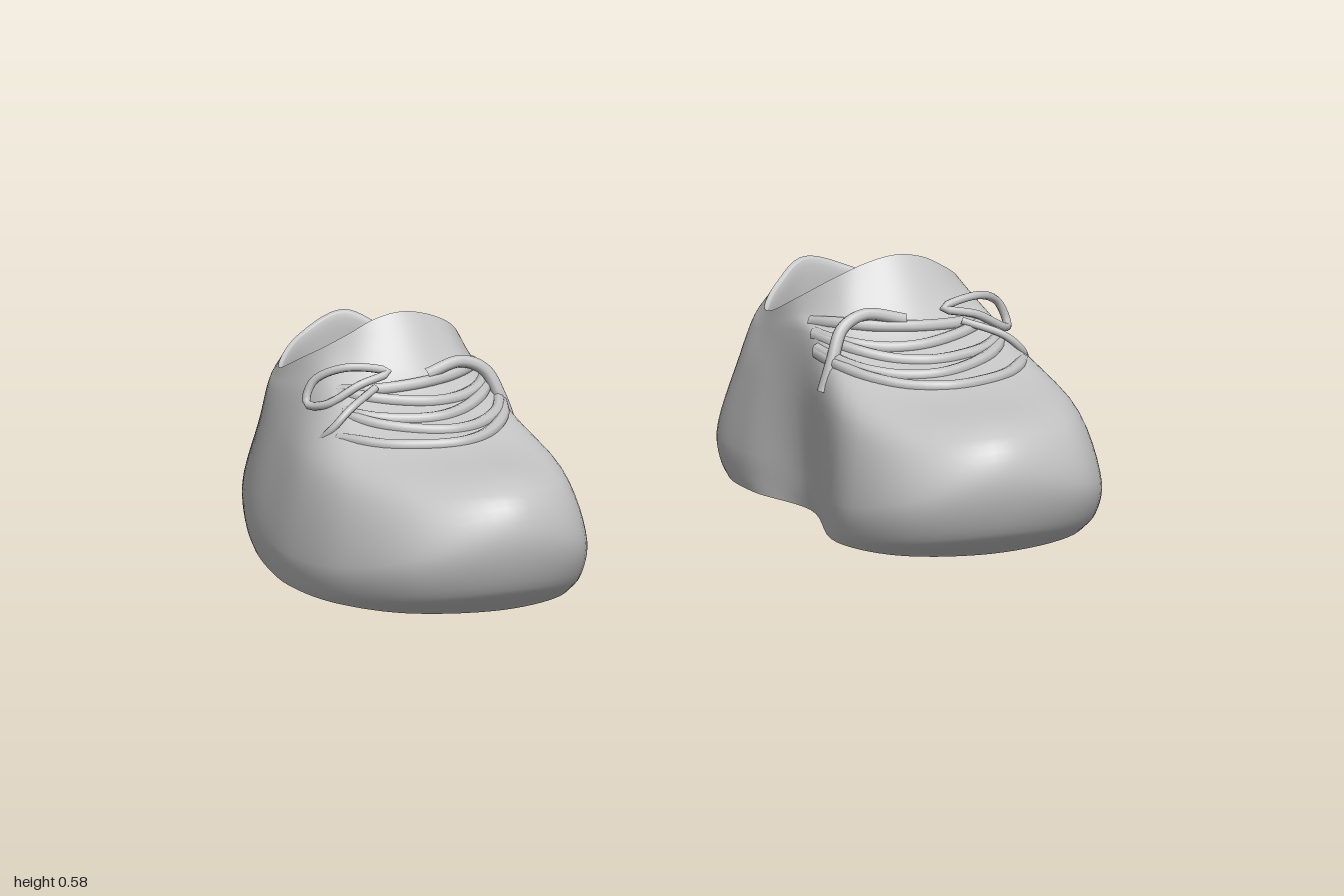
import * as THREE from 'three';

const N = 98, STEPS = 6;

// Control rings run toe -> outer side -> heel -> inner side, as x, y, z.
const WIDEST = [
  [.61, .2, .605], [.845, .15, .525], [.965, .1, .34], [1, .08, .12], [.975, .08, -.1],
  [.905, .09, -.35], [.805, .11, -.53], [.655, .115, -.608], [.485, .11, -.585], [.35, .09, -.47],
  [.335, .09, -.28], [.39, .1, -.05], [.322, .1, .31], [.405, .15, .515]];
const SHOULDER = [
  [.61, .295, .56], [.81, .28, .465], [.915, .28, .29], [.945, .28, .1], [.92, .28, -.1],
  [.87, .28, -.33], [.77, .28, -.48], [.63, .28, -.54], [.495, .28, -.515], [.385, .28, -.42],
  [.36, .28, -.28], [.385, .29, -.06], [.36, .28, .27], [.435, .28, .455]];
const VAMP = [
  [.61, .342, .28], [.72, .345, .24], [.8, .36, .16], [.85, .4, .04], [.87, .4, -.1],
  [.85, .37, -.32], [.74, .39, -.465], [.6, .42, -.508], [.49, .4, -.475], [.405, .37, -.39],
  [.385, .37, -.28], [.395, .42, -.08], [.43, .37, .12], [.51, .345, .23]];
const RIM = [
  [.62, .585, -.06], [.69, .572, -.065], [.75, .54, -.08], [.8, .505, -.115], [.83, .467, -.18],
  [.83, .413, -.31], [.715, .445, -.445], [.575, .487, -.475], [.485, .445, -.43], [.42, .412, -.355],
  [.4, .425, -.27], [.415, .48, -.16], [.48, .54, -.085], [.55, .572, -.065]];

const vec = (p) => new THREE.Vector3(...p);
const ring = (pts) => new THREE.CatmullRomCurve3(pts.map(vec), true);
const around = (u) => ((u % 1) + 1) % 1;

const GROUND = WIDEST.map(([x, , z]) => [.655 + (x - .655) * .975, 0, z * (z > 0 ? .82 : .89)]);
// Rounded edge of the sole
const EDGE = GROUND.map(([x, , z], i) =>
  [x + (WIDEST[i][0] - x) * .65, WIDEST[i][1] * .33, z + (WIDEST[i][2] - z) * .65]);
// Tongue ring dips at the front so the throat is concave
const THROAT = VAMP.map((p, i) => {
  const dip = .07 * Math.max(0, Math.cos(i / 14 * Math.PI * 2)) ** 2;
  return p.map((c, k) => c + (RIM[i][k] - c) * .6 - (k === 1 ? dip : 0));
});
// Rings inside the opening, scaled about its centre and reaching forward under the tongue
const inside = (s, height, reach = 1) => RIM.map(([x, y, z]) =>
  [.62 + (x - .62) * s, height(y), -.27 + (z + .27) * s * (z > -.27 ? reach : 1)]);

const UPPER = [GROUND, EDGE, WIDEST, SHOULDER, VAMP, THROAT, RIM].map(ring);
const VAMP_ROW = 4;
const LINING = [RIM, inside(.95, (y) => y - .006), inside(.95, (y) => y * .7, 1.25),
  inside(.97, () => .22, 1.7), inside(.85, () => .2, 1.7), inside(.01, () => .2)].map(ring);
const SOLE = [GROUND.map(() => [.655, 0, -.02]), GROUND].map(ring);

// Profile of a set of rings at one place around the shoe
const profile = (rings, u) => new THREE.CatmullRomCurve3(rings.map((r) => r.getPoint(around(u))));

// The second shoe is a mirrored, slightly narrower copy
const place = (p, side) => {
  if (side < 0) p.x = -(1 - (1 - p.x) * .945);
  return p;
};

function loft(rings, side) {
  const rows = (rings.length - 1) * STEPS, pos = [], index = [];
  for (let i = 0; i < N; i++) {
    const curve = profile(rings, i / N);
    for (let j = 0; j <= rows; j++) pos.push(...place(curve.getPoint(j / rows), side).toArray());
  }
  const at = (i, j) => (i % N) * (rows + 1) + j;
  for (let i = 0; i < N; i++) for (let j = 0; j < rows; j++) {
    const a = at(i, j), b = at(i + 1, j), c = at(i + 1, j + 1), d = at(i, j + 1);
    if (side > 0) index.push(a, b, c, a, c, d);
    else index.push(a, c, b, a, d, c);
  }
  const g = new THREE.BufferGeometry();
  g.setAttribute('position', new THREE.Float32BufferAttribute(pos, 3));
  g.setIndex(index);
  g.computeVertexNormals();
  return g;
}

function cord(points, side, radius, closed = false) {
  const pts = points.map((p) => place(p.clone(), side));
  return new THREE.TubeGeometry(new THREE.CatmullRomCurve3(pts, closed), 32, radius, 8, closed);
}

function createShoe(side, material) {
  const shoe = new THREE.Group();
  const add = (name, geometry) => {
    const mesh = new THREE.Mesh(geometry, material);
    mesh.name = name;
    shoe.add(mesh);
  };
  add('upper', loft(UPPER, side));
  add('lining', loft(LINING, side));
  add('sole', loft(SOLE, side));

  // Soft lace rows, half sunk into the vamp and spreading towards the sides
  for (let k = 0; k < 5; k++) {
    const v = VAMP_ROW + .08 + k * .27, pts = [];
    for (let i = -6; i <= 6; i++) {
      const s = i / 6, tilt = (k % 2 ? .1 : -.1) * s;
      const p = profile(UPPER, s * 2.7 / 14).getPoint((v + tilt - .3 * s * s) / (UPPER.length - 1));
      p.y -= .014 * s ** 6;
      pts.push(p);
    }
    add('laceRow', cord(pts, side, .015));
  }

  // Bow loop on the outer side, broad loose end on the inner side
  add('laceLoop', cord([[.7, .47, .035], [.8, .485, .01], [.87, .45, -.03], [.89, .4, -.025],
    [.86, .405, .02], [.78, .45, .045]].map(vec), side, .01, true));
  add('laceInnerEnd', cord([[.6, .455, .04], [.5, .475, .03], [.44, .45, .04], [.405, .38, .06],
    [.38, .31, .065]].map(vec), side, .015));
  add('laceOuterEnd', cord([[.74, .44, .05], [.83, .405, .09], [.875, .365, .09],
    [.91, .31, .045]].map(vec), side, .009));
  return shoe;
}

export function createModel() {
  const material = new THREE.MeshStandardMaterial({ color: 0xc4c4c4 });
  material.name = 'plain grey';
  const model = new THREE.Group();
  model.name = 'pairOfShoes';
  for (const side of [1, -1]) {
    const shoe = createShoe(side, material);
    shoe.name = side > 0 ? 'leftShoe' : 'rightShoe';
    model.add(shoe);
  }
  return model;
}
